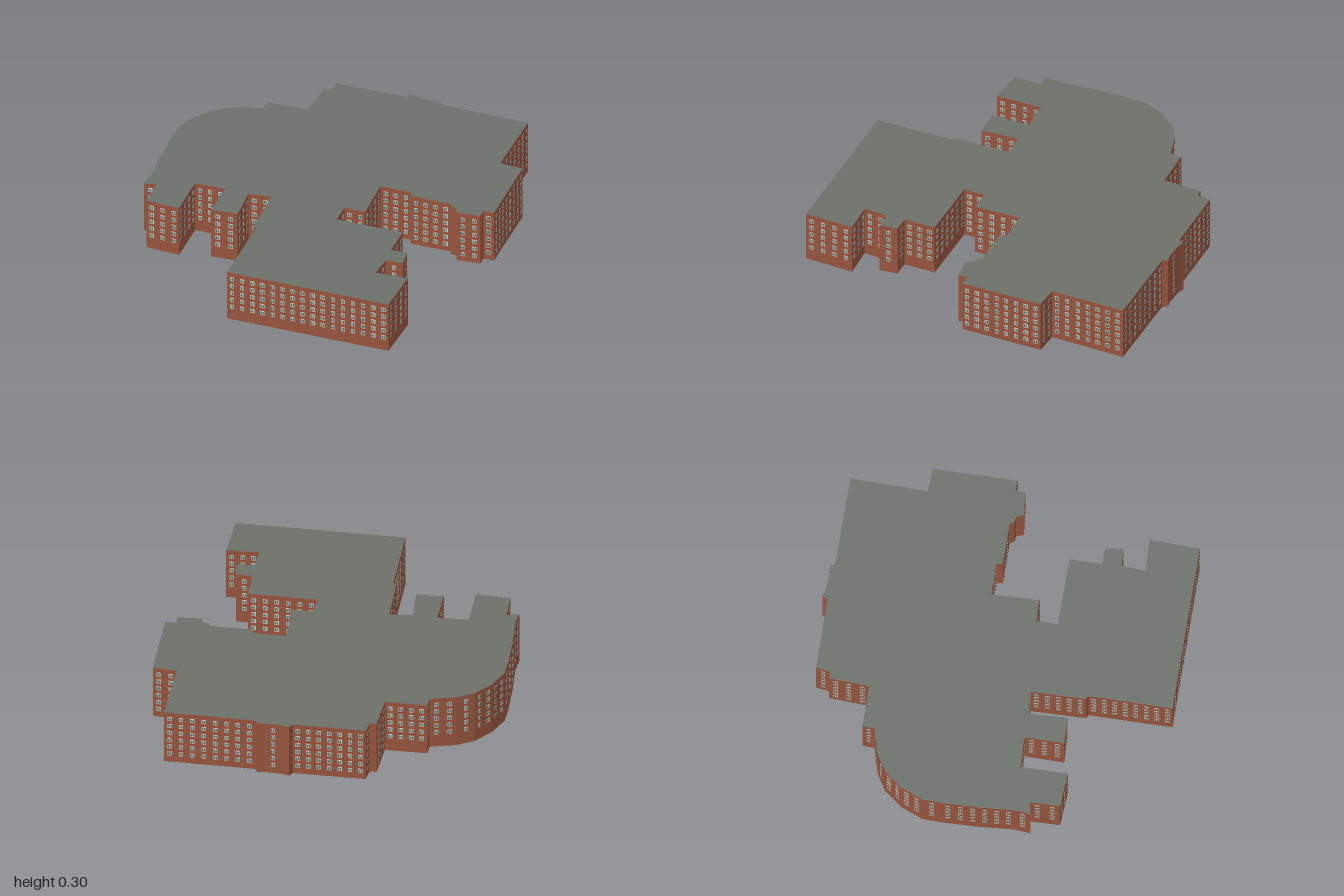
import * as THREE from 'three';
import { mergeGeometries } from 'three/addons/utils/BufferGeometryUtils.js';

// Footprint as [x, z], starting at the back and going round clockwise from above
const FOOTPRINT = [
  [-0.10, -1], [0.27, -0.92], [0.29, -0.945], [0.325, -0.925], [0.415, -0.90], [0.45, -0.90],
  [0.46, -0.87], [0.92, -0.765], [0.83, -0.375], [0.95, -0.34], [0.86, 0.09], [0.805, 0.075],
  [0.795, 0.125], [0.67, 0.11], [0.665, 0.07], [0.635, 0.06], [0.63, 0.035], [0.415, -0.012],
  [0.415, -0.045], [0.25, -0.08], [0.205, 0.165], [0.095, 0.14], [0.07, 0.25], [0.42, 0.33],
  [0.385, 0.495], [0.47, 0.515], [0.46, 0.61], [0.37, 0.595], [0.335, 0.715], [0.505, 0.745],
  [0.44, 1], [-0.42, 0.81], [-0.33, 0.385], [-0.345, 0.37], [-0.29, 0.09], [-0.41, 0.075],
  [-0.44, 0.27], [-0.58, 0.245], [-0.535, 0.045], [-0.695, 0.015], [-0.745, 0.255], [-0.92, 0.205],
  [-0.89, 0.05], [-0.955, 0.05], [-0.93, -0.03], [-0.905, -0.21], [-0.87, -0.40], [-0.845, -0.50],
  [-0.775, -0.60], [-0.68, -0.68], [-0.585, -0.712], [-0.445, -0.72], [-0.43, -0.78],
  [-0.215, -0.735], [-0.16, -0.937], [-0.125, -0.93],
];

// The roof falls slightly towards the front
const roofY = (x, z) => 0.289 + 0.003 * x - 0.007 * z;

const material = (name, color, side = THREE.FrontSide) => {
  const m = new THREE.MeshStandardMaterial({ color, side });
  m.name = name;
  return m;
};

const part = (name, geometry, mat) => {
  const mesh = new THREE.Mesh(geometry, mat);
  mesh.name = name;
  return mesh;
};

// Flat plate on a wall: along = offset sideways, out = distance off the wall
function plate(w, h, along, out, x, y, z, angle) {
  return new THREE.PlaneGeometry(w, h).translate(along, 0, out).rotateY(angle).translate(x, y, z);
}

export function createModel() {
  const brick = material('brick', 0x96543d, THREE.DoubleSide);
  const roofing = material('roofing', 0x6c7069, THREE.DoubleSide);
  const frameWhite = material('frame white', 0xd9d8cb);
  const glass = material('window glass', 0x55777a);

  const wallPositions = [];
  const frames = [];
  const panes = [];

  FOOTPRINT.forEach(([ax, az], i) => {
    const [bx, bz] = FOOTPRINT[(i + 1) % FOOTPRINT.length];
    const ay = roofY(ax, az);
    const by = roofY(bx, bz);

    // One wall panel per footprint edge
    wallPositions.push(bx, 0, bz, ax, 0, az, ax, ay, az, bx, 0, bz, ax, ay, az, bx, by, bz);

    // Grid of windows on each wall that is wide enough
    const length = Math.hypot(bx - ax, bz - az);
    const columns = Math.floor(length / 0.054);
    const angle = Math.atan2(bz - az, -(bx - ax));
    const midX = (ax + bx) / 2;
    const midZ = (az + bz) / 2;
    const rows = midZ > 0.26 || midX < -0.3 ? 5 : 6;
    for (let c = 0; c < columns; c++) {
      const t = (c + 0.5) / columns;
      const x = ax + (bx - ax) * t;
      const z = az + (bz - az) * t;
      for (let r = 0; r < rows; r++) {
        const y = roofY(x, z) - 0.037 - 0.042 * r;
        frames.push(plate(0.023, 0.025, 0, 0.002, x, y, z, angle));
        for (const s of [-1, 1]) {
          panes.push(plate(0.0075, 0.018, s * 0.005, 0.0035, x, y, z, angle));
        }
      }
    }
  });

  // Outer walls, open underneath
  const walls = new THREE.BufferGeometry();
  walls.setAttribute('position', new THREE.Float32BufferAttribute(wallPositions, 3));
  walls.computeVertexNormals();

  // Roof: the footprint laid flat, then lifted onto the wall tops
  const outline = new THREE.Shape(FOOTPRINT.map(([x, z]) => new THREE.Vector2(x, -z)));
  const roof = new THREE.ShapeGeometry(outline).rotateX(-Math.PI / 2);
  const p = roof.attributes.position;
  for (let i = 0; i < p.count; i++) p.setY(i, roofY(p.getX(i), p.getZ(i)));
  roof.computeVertexNormals();

  const group = new THREE.Group();
  group.name = 'building';
  group.add(
    part('walls', walls, brick),
    part('roof', roof, roofing),
    part('windowFrames', mergeGeometries(frames), frameWhite),
    part('windowPanes', mergeGeometries(panes), glass),
  );
  return group;
}
